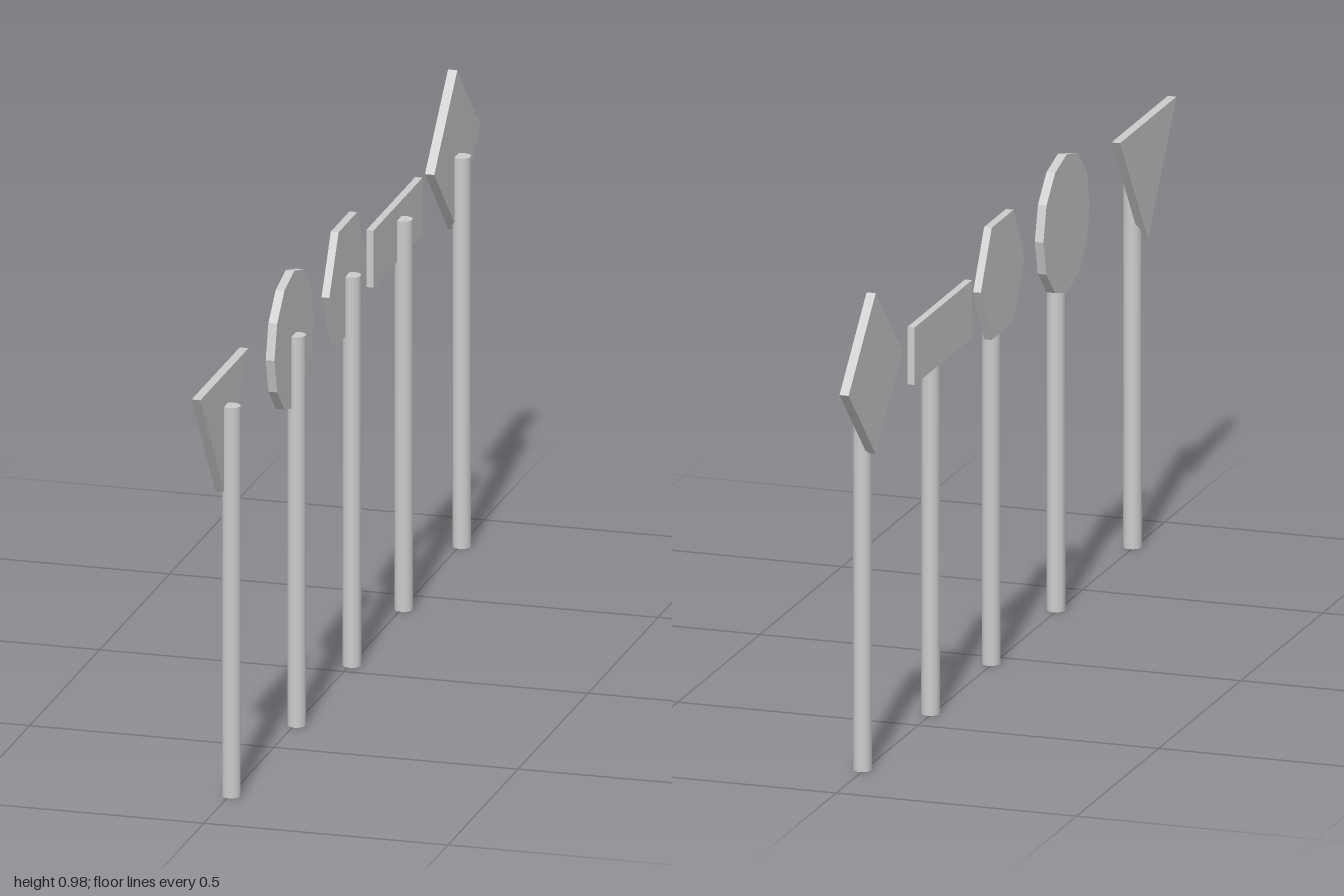
import * as THREE from 'three';

const material = new THREE.MeshStandardMaterial({ color: 0xcccccc });

const POST_RADIUS = 0.0185;
const POST_HEIGHT = 0.808;

// Outline of a regular polygon as [z, y] points
function polygon(sides, radius, z, y) {
  return Array.from({ length: sides }, (_, i) => {
    const a = (i / sides) * Math.PI * 2;
    return [z + radius * Math.cos(a), y + radius * Math.sin(a)];
  });
}

// Flat plate with a [z, y] outline, spanning xMin..xMax
function makePlate(outline, xMin, xMax) {
  const shape = new THREE.Shape(outline.map(([z, y]) => new THREE.Vector2(z, y)));
  const geometry = new THREE.ExtrudeGeometry(shape, { depth: xMax - xMin, bevelEnabled: false });
  geometry.rotateY(-Math.PI / 2);
  geometry.translate(xMax, 0, 0);
  return new THREE.Mesh(geometry, material);
}

function makePost(z) {
  const post = new THREE.Mesh(
    new THREE.CylinderGeometry(POST_RADIUS, POST_RADIUS, POST_HEIGHT, 16), material);
  post.position.set(0.004, POST_HEIGHT / 2, z);
  return post;
}

export function createModel() {
  const model = new THREE.Group();
  model.name = 'roadSigns';

  // A row of signs along z, each a post with a plate on its -x side
  const signs = [
    { name: 'triangle', postZ: 0.817, x: [-0.025, -0.007],
      outline: [[0.828, 0.63], [1, 0.875], [0.656, 0.875]] },
    { name: 'round', postZ: 0.351, x: [-0.02, -0.002],
      outline: polygon(12, 0.142, 0.346, 0.796) },
    { name: 'hexagon', postZ: -0.044, x: [-0.021, -0.005],
      outline: polygon(6, 0.133, -0.047, 0.8) },
    { name: 'rectangle', postZ: -0.413, x: [-0.02, -0.005],
      outline: [[-0.58, 0.722], [-0.23, 0.722], [-0.23, 0.84], [-0.58, 0.84]] },
    { name: 'diamond', postZ: -0.828, x: [-0.026, -0.007],
      outline: polygon(4, 0.165, -0.835, 0.817) },
  ];

  for (const { name, postZ, x, outline } of signs) {
    const sign = new THREE.Group();
    sign.name = name + 'Sign';
    const plate = makePlate(outline, x[0], x[1]);
    plate.name = name + 'Plate';
    const post = makePost(postZ);
    post.name = name + 'Post';
    sign.add(plate, post);
    model.add(sign);
  }
  return model;
}
